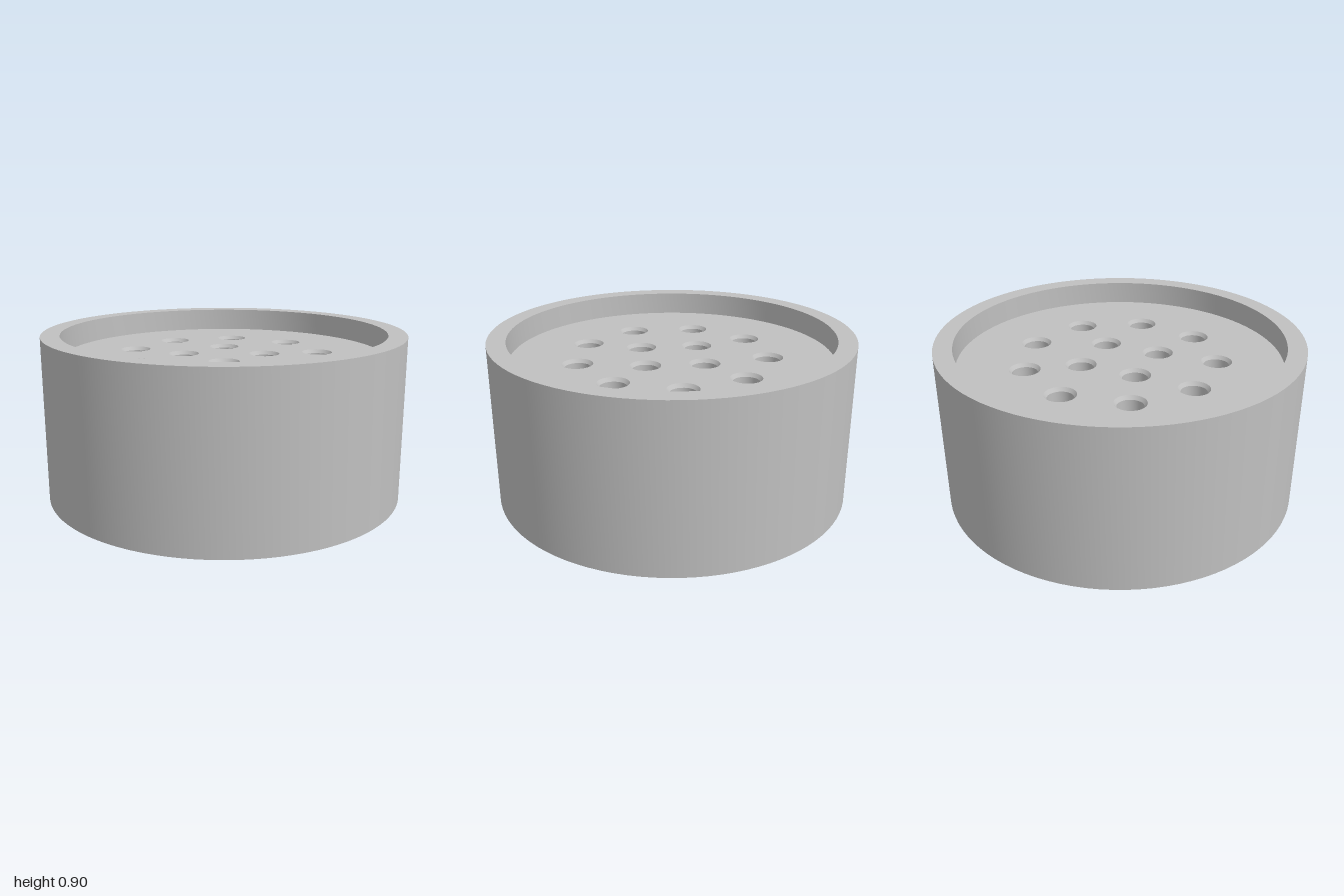
import * as THREE from 'three';
import { toCreasedNormals } from 'three/addons/utils/BufferGeometryUtils.js';

const FLOOR_Y = 0.775;
const HOLE_RADIUS = 0.085;

// Turned surface from a list of [radius, height] points, with sharp profile edges
function turned(profile, segments) {
  const points = profile.map(([r, y]) => new THREE.Vector2(r, y));
  return toCreasedNormals(new THREE.LatheGeometry(points, segments), Math.PI / 6);
}

function circlePoints(cx, cy, radius, segments) {
  return Array.from({ length: segments }, (_, i) => {
    const a = (i / segments) * Math.PI * 2;
    return new THREE.Vector2(cx + Math.cos(a) * radius, cy + Math.sin(a) * radius);
  });
}

export function createModel() {
  const model = new THREE.Group();
  const metal = new THREE.MeshStandardMaterial({ color: 0xc0c0c0 });
  metal.name = 'plain grey';

  function add(name, geometry, x = 0, z = 0) {
    const mesh = new THREE.Mesh(geometry, metal);
    mesh.name = name;
    mesh.position.set(x, 0, z);
    model.add(mesh);
  }

  // Body: blind bore with a chamfered mouth, underside, outer wall, rim, recess wall
  add('body', turned([
    [0, 0.45], [0.229, 0.45], [0.229, 0.012], [0.241, 0],
    [1, 0], [1, 0.905], [0.897, 0.905], [0.897, FLOOR_Y],
  ], 96));

  // Hole centres: a ring of nine around a square of four
  const centres = [];
  for (let i = 0; i < 9; i++) {
    const a = (i / 9) * Math.PI * 2;
    centres.push([Math.cos(a) * 0.53, Math.sin(a) * 0.53]);
  }
  for (const x of [-0.16, 0.16]) for (const z of [-0.16, 0.16]) centres.push([x, z]);

  // Recessed floor, pierced by the holes
  const floor = new THREE.Shape(circlePoints(0, 0, 0.897, 96));
  for (const [x, z] of centres) {
    floor.holes.push(new THREE.Path(circlePoints(x, -z, HOLE_RADIUS, 32)));
  }
  const floorGeometry = new THREE.ShapeGeometry(floor);
  floorGeometry.rotateX(-Math.PI / 2);
  floorGeometry.translate(0, FLOOR_Y, 0);
  add('recessedFloor', floorGeometry);

  // Stepped holes: chamfer, straight wall, ledge, narrow pilot hole
  const holeGeometry = turned([
    [HOLE_RADIUS, FLOOR_Y], [0.07, FLOOR_Y - 0.02], [0.07, FLOOR_Y - 0.19],
    [0.06, FLOOR_Y - 0.2], [0.03, FLOOR_Y - 0.2], [0.03, FLOOR_Y - 0.3], [0, FLOOR_Y - 0.3],
  ], 32);
  for (const [x, z] of centres) add('steppedHole', holeGeometry, x, z);

  return model;
}
